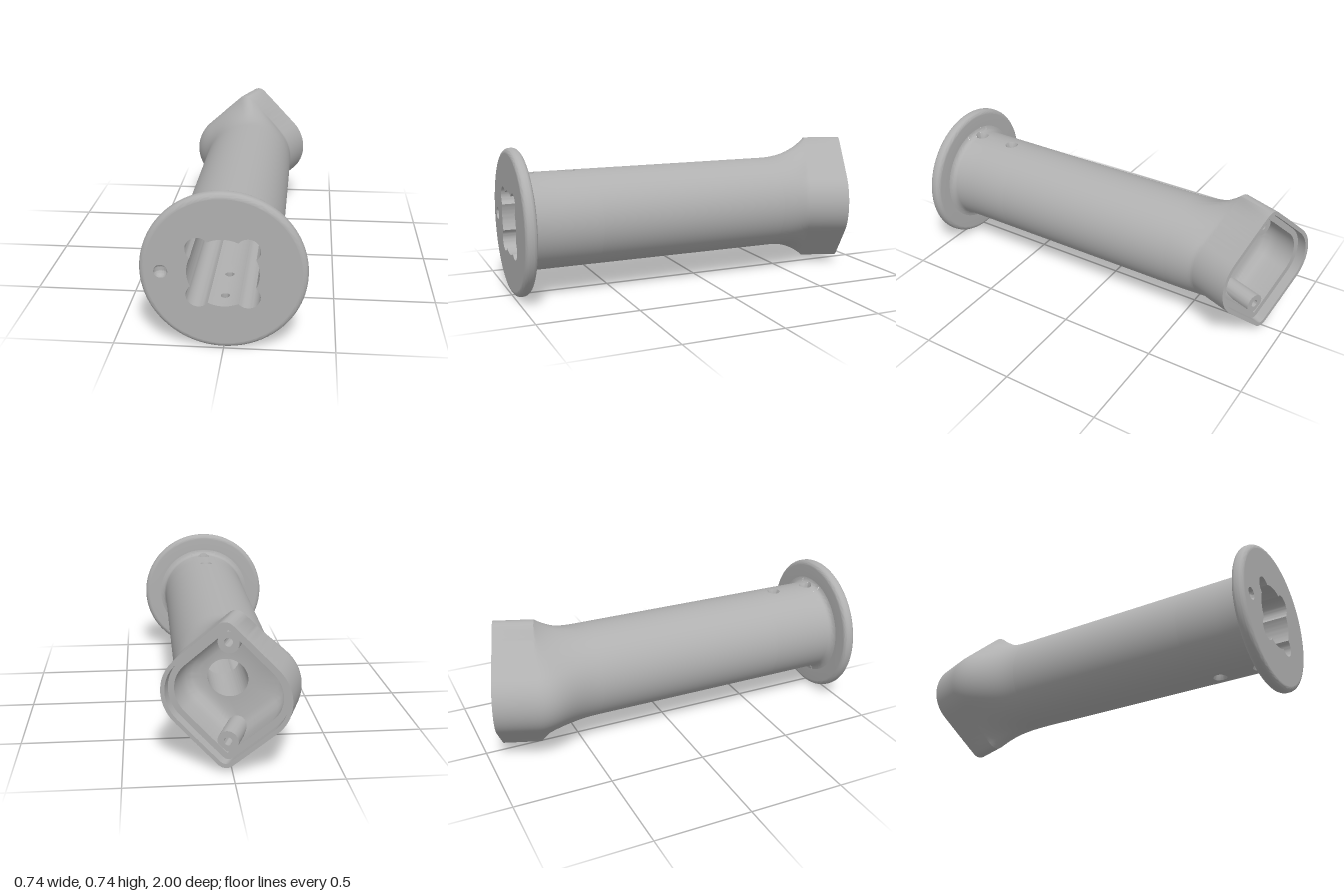
import * as THREE from 'three';
import { toCreasedNormals } from 'three/addons/utils/BufferGeometryUtils.js';

const V = (x, y, z) => new THREE.Vector3(x, y, z);
const N = 144, TAU = Math.PI * 2, AXIS_Y = 0.372;
const TUBE_R = 0.245, BORE_R = 0.16, HOLE_R = 0.093, BORE_END = -0.35;
const TILT = 20 * Math.PI / 180, CT = Math.cos(TILT), ST = Math.sin(TILT);

// Skin over a list of equally long cross-sections; faces outward when they run toward +z.
function loft(rings, closed = true) {
  const n = rings[0].length, index = [];
  for (let i = 0; i < rings.length - 1; i++) {
    for (let j = 0; j < (closed ? n : n - 1); j++) {
      const k = (j + 1) % n, a = i * n + j, b = i * n + k, c = b + n, d = a + n;
      index.push(a, b, c, a, c, d);
    }
  }
  const g = new THREE.BufferGeometry().setFromPoints(rings.flat());
  g.setIndex(index);
  return toCreasedNormals(g, 0.6);
}

const each = (fn, n = N) => Array.from({ length: n }, (_, j) => fn(j / n * TAU));
const circle = (r, z) => each(t => V(r * Math.cos(t), r * Math.sin(t), z));
const arc = (r, z, a0, a1, n) => Array.from({ length: n + 1 }, (_, j) => {
  const t = a0 + (a1 - a0) * j / n;
  return V(r * Math.cos(t), r * Math.sin(t), z);
});

// Tilted head frame: u across, v up, d = depth below the open rim.
const headPoint = (u, v, d) => V(0.035 + CT * u - ST * d, v, -0.895 + ST * u + CT * d);

// Rounded-diamond outline (hull of wide side arcs and tight top/bottom arcs), by ray angle.
function headRadius(t, inset) {
  let r = 1;
  for (let k = -80; k <= 80; k++) {
    const p = t + k * Math.PI / 180;
    const h = Math.max(0.103 * Math.abs(Math.cos(p)) + 0.2, 0.295 * Math.abs(Math.sin(p)) + 0.05);
    r = Math.min(r, (h - inset) / Math.cos(p - t));
  }
  return r;
}
const headRing = (inset, d) => each(t => {
  const r = headRadius(t, inset);
  return headPoint(r * Math.cos(t), r * Math.sin(t), d);
});

// Outer tube radius, with a fillet where it meets the flange.
const outerR = z => z <= 0.91 ? TUBE_R
  : TUBE_R + 0.03 - Math.sqrt(Math.max(0, 0.03 ** 2 - (z - 0.91) ** 2));
const onCurve = (R, s, z) => V(R * Math.sin(s), R * Math.cos(s), z);

// Curved panel on the top of a cylinder, pierced by a round hole.
function piercedPanel(radiusAt, half, r, zc, z0, z1, inward) {
  const R = radiusAt(0), w = half * R, m = 12, edge = [];
  const corners = [[-w, z0], [w, z0], [w, z1], [-w, z1]];
  corners.forEach((c, i) => {
    const e = corners[(i + 1) % 4];
    for (let j = 0; j < m; j++) edge.push([c[0] + (e[0] - c[0]) * j / m, c[1] + (e[1] - c[1]) * j / m]);
  });
  const rings = [];
  for (let i = 0; i <= 8; i++) {
    rings.push(edge.map(([s, z]) => {
      const L = Math.hypot(s, z - zc), f = r / L + (1 - r / L) * i / 8;
      const zz = zc + (z - zc) * f;
      return onCurve(radiusAt(zz), s * f / R, zz);
    }));
  }
  return loft(inward ? rings.reverse() : rings);
}

// Bore outline: a circle with four round lobes.
const LOBE = 0.055, LOBE_C = 0.1556;
const COS_A = (BORE_R ** 2 + LOBE_C ** 2 - LOBE ** 2) / (2 * BORE_R * LOBE_C);
const ALPHA = Math.acos(COS_A);
const BETA = Math.atan2(BORE_R * Math.sin(ALPHA), BORE_R * COS_A - LOBE_C);
const lobeArc = (k, z) => {
  const m = Math.PI / 4 + k * Math.PI / 2;
  return arc(LOBE, z, m - BETA, m + BETA, 24).map(p => p.add(V(LOBE_C * Math.cos(m), LOBE_C * Math.sin(m), 0)));
};
const flatArc = (k, z) => {
  const m = Math.PI / 4 + k * Math.PI / 2;
  return arc(BORE_R, z, m + ALPHA, m + Math.PI / 2 - ALPHA, 20);
};
const boreOutline = () => [0, 1, 2, 3].flatMap(k => [...lobeArc(k, 0), ...flatArc(k, 0).slice(1, -1)])
  .map(p => new THREE.Vector2(p.x, p.y));
const roundPath = (x, y, r) => new THREE.Path().absarc(x, y, r, 0, TAU, true);

export function createModel() {
  const group = new THREE.Group();
  const grey = new THREE.MeshStandardMaterial({ color: 0xb0b0b0 });
  grey.name = 'plain grey';
  const add = (name, geometry) => {
    const mesh = new THREE.Mesh(geometry, grey);
    mesh.name = name;
    mesh.position.y = AXIS_Y;
    group.add(mesh);
    return mesh;
  };

  // Through hole, cavity floor, cavity wall, ledge and rim of the head
  const floorD = 0.24;
  const floorHole = each(t => {
    const x = HOLE_R * Math.cos(t);
    return headPoint((x - 0.035 + ST * floorD) / CT, HOLE_R * Math.sin(t), floorD);
  });
  add('headCavity', loft([circle(HOLE_R, BORE_END), floorHole, headRing(0.11, floorD), headRing(0.08, 0.228),
    headRing(0.06, 0.2), headRing(0.05, 0.16), headRing(0.05, 0.05), headRing(0.02, 0.05),
    headRing(0.02, 0), headRing(0, 0)]));

  // Head shell, blending into the round tube
  const neck = 0.2, blend = [];
  for (let i = 0; i <= 20; i++) {
    blend.push(each(t => {
      const r = headRadius(t, 0), c = Math.cos(t), s = Math.sin(t);
      const k = c * c * (0.095 - 0.055 * c);
      return new THREE.CubicBezierCurve3(headPoint(r * c, r * s, neck), headPoint(r * c, r * s, neck + k),
        V(TUBE_R * c, TUBE_R * s, -0.6), V(TUBE_R * c, TUBE_R * s, -0.43)).getPoint(i / 20);
    }));
  }
  add('headShell', loft([headRing(0, 0), ...blend]));

  // Screw bosses at the top and bottom of the cavity
  for (const side of [1, -1]) {
    const ring = (r, d) => each(t => headPoint(r * Math.cos(t), side * 0.237 + r * Math.sin(t), d), 36);
    add('screwBoss', loft([ring(0.0005, 0.15), ring(0.02, 0.15), ring(0.02, 0.054), ring(0.05, 0.054), ring(0.05, floorD)]));
  }

  // Tube: full round, then two side walls beside the pierced panels
  const P0 = 0.585, P1 = 0.795, P2 = 0.94, HALF = 17.5 * Math.PI / 180;
  add('tube', loft([circle(TUBE_R, -0.43), circle(TUBE_R, P0)]));
  const levels = [P0, P1, 0.91, 0.92, 0.93, 0.936, P2];
  for (const m of [0, Math.PI]) {
    const a = Math.PI / 2 - HALF;
    add('tubeSide', loft(levels.map(z => arc(outerR(z), z, m - a, m + a, 58)), false));
  }

  // Pierced panels and countersunk cross holes, above and below
  const panelHalf = Math.PI / 4 - ALPHA, boreAt = () => BORE_R;
  for (const turn of [0, Math.PI]) {
    for (const [zc, z0, z1, boreZ1] of [[0.69, P0, P1, P1], [0.9, P1, P2, 1]]) {
      const ring = (r, radiusAt) => each(t => {
        const z = zc + r * Math.sin(t), R = radiusAt(z);
        return onCurve(R, r * Math.cos(t) / R, z);
      }, 48);
      const parts = {
        tubePanel: piercedPanel(outerR, HALF, 0.034, zc, z0, z1, false),
        borePanel: piercedPanel(boreAt, panelHalf, 0.021, zc, z0, boreZ1, true),
        crossHole: loft([ring(0.021, boreAt), ring(0.021, () => 0.215), ring(0.034, outerR)]),
      };
      for (const name in parts) add(name, parts[name]).rotation.z = turn;
    }
  }

  // Lobed bore walls and the end wall around the through hole
  for (let k = 0; k < 4; k++) {
    add('boreLobe', loft([lobeArc(k, 1), lobeArc(k, BORE_END)], false));
    const start = k % 2 === 0 ? P0 : 1;
    add('boreWall', loft([flatArc(k, start), flatArc(k, BORE_END)], false));
  }
  const endShape = new THREE.Shape(boreOutline());
  endShape.holes.push(roundPath(0, 0, HOLE_R));
  add('boreEnd', new THREE.ShapeGeometry(endShape, 48).translate(0, 0, BORE_END));

  // Flange edge with rounded corners
  const round = 0.025, edge = [circle(0.275, P2)];
  for (const [zc, a0] of [[P2 + round, -Math.PI / 2], [1 - round, 0]]) {
    for (let i = 0; i <= 8; i++) {
      const a = a0 + i / 8 * Math.PI / 2;
      edge.push(circle(0.345 + round * Math.cos(a), zc + round * Math.sin(a)));
    }
  }
  add('flangeEdge', loft(edge));

  // Flange face with bore opening and a round dimple
  const face = new THREE.Shape(circle(0.345, 0).map(p => new THREE.Vector2(p.x, p.y)));
  face.holes.push(new THREE.Path(boreOutline()), roundPath(-0.273, 0, 0.031));
  add('flangeFace', new THREE.ShapeGeometry(face, 24).translate(0, 0, 1));
  const dimple = [];
  for (let i = 0; i <= 10; i++) {
    const a = i / 10 * Math.PI / 2;
    dimple.push(each(t => V(-0.273 + 0.031 * Math.cos(a) * Math.cos(t), 0.031 * Math.cos(a) * Math.sin(t),
      1 - 0.031 * Math.sin(a)), 36));
  }
  add('flangeDimple', loft(dimple));
  return group;
}
